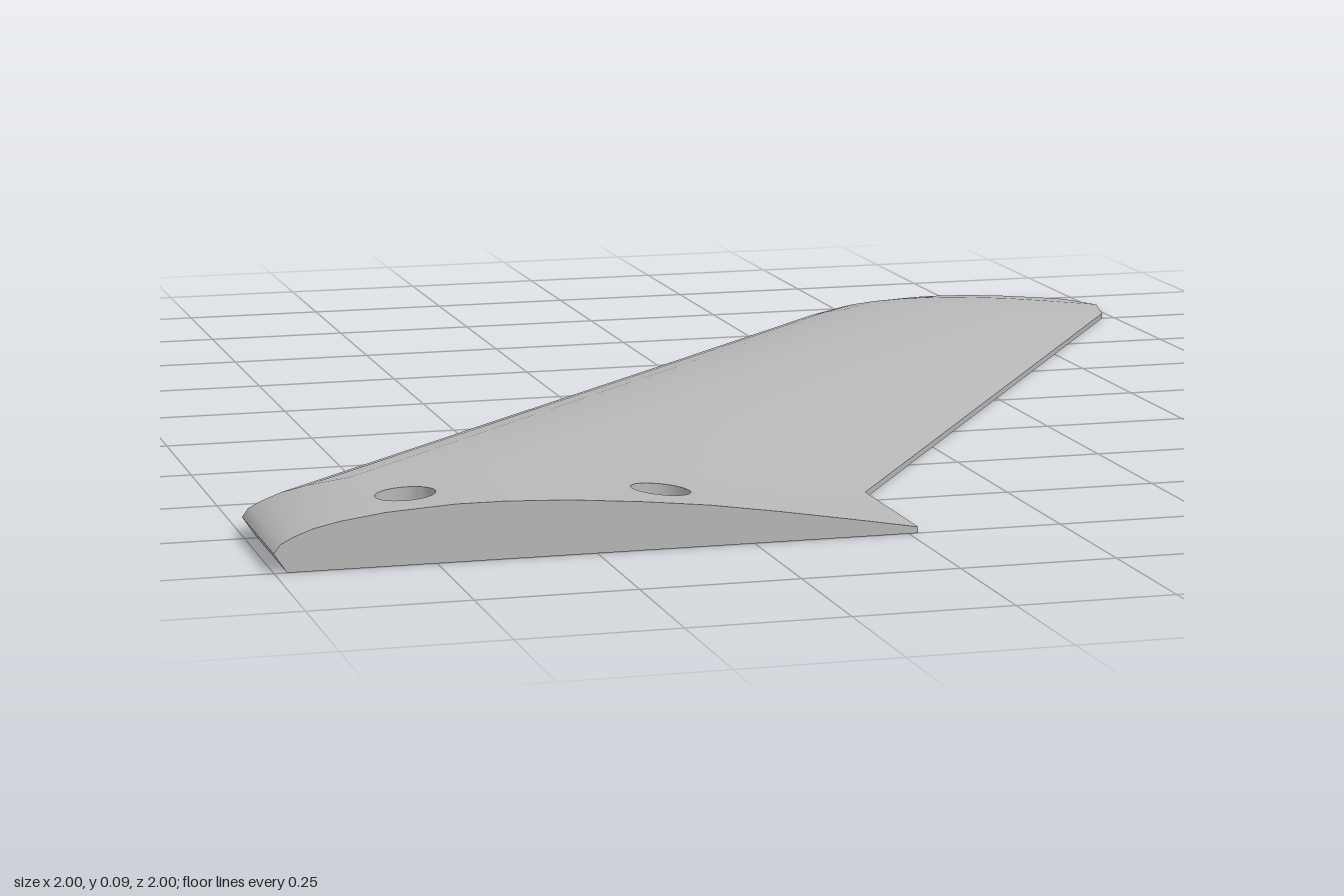
import * as THREE from 'three';
import { toCreasedNormals } from 'three/addons/utils/BufferGeometryUtils.js';

// Spanwise stations from root to tip: z, leading x, trailing x, thickness
const STATIONS = [
  [1, -1, 0.015, 0.09], [0.73, -1, 0.015, 0.09], [0.24, -0.556, 0.333, 0.076],
  [-0.25, -0.113, 0.651, 0.061], [-0.75, 0.34, 0.975, 0.047], [-0.85, 0.44, 1, 0.041],
  [-0.93, 0.555, 0.96, 0.029], [-0.97, 0.625, 0.89, 0.019], [-1, 0.68, 0.82, 0.01],
];
// Upper profile: chord fraction, height fraction
const PROFILE = [
  [0, 0.25], [0.01, 0.42], [0.03, 0.55], [0.06, 0.69], [0.1, 0.8], [0.17, 0.92], [0.275, 1],
  [0.35, 1], [0.45, 0.95], [0.57, 0.82], [0.67, 0.68], [0.78, 0.47], [0.89, 0.24], [1, 0],
];
const EDGE = 0.01, BEVEL = 0.02;
const HOLES = [{ x: -0.775, z: 0.89, cell: 5 }, { x: -0.37, z: 0.89, cell: 9 }];
const BORE = 0.025, SINK = 0.047, SINK_DEPTH = 0.03, SIDES = 32;

const V = (x, y, z) => new THREE.Vector3(x, y, z);
const topPoint = ([z, x0, x1, h], [t, g]) => V(x0 + (x1 - x0) * t, EDGE + (h - EDGE) * g, z);

// Collects triangles, each turned to face the given direction
class Surface {
  constructor() { this.pos = []; }
  tri(a, b, c, dir) {
    const n = b.clone().sub(a).cross(c.clone().sub(a));
    const order = n.dot(dir) < 0 ? [a, c, b] : [a, b, c];
    order.forEach((p) => this.pos.push(p.x, p.y, p.z));
  }
  quad(a, b, c, d, dir) {
    this.tri(a, b, c, dir);
    this.tri(a, c, d, dir);
  }
  // Flat outline in x and z with holes, lifted to a height rule
  plate(outline, holes, height, dir) {
    const faces = THREE.ShapeUtils.triangulateShape(outline, holes);
    const pts = [outline, ...holes].flat().map((p) => V(p.x, height(p.x), p.y));
    faces.forEach(([a, b, c]) => this.tri(pts[a], pts[b], pts[c], dir));
  }
  mesh(name, material, crease) {
    const geo = new THREE.BufferGeometry();
    geo.setAttribute('position', new THREE.Float32BufferAttribute(this.pos, 3));
    const mesh = new THREE.Mesh(toCreasedNormals(geo, crease), material);
    mesh.name = name;
    return mesh;
  }
}

const circle = (hole, r) => Array.from({ length: SIDES }, (_, i) => {
  const a = (i / SIDES) * Math.PI * 2;
  return new THREE.Vector2(hole.x + r * Math.cos(a), hole.z + r * Math.sin(a));
});

export function createModel() {
  const group = new THREE.Group();
  group.name = 'fin';
  const grey = new THREE.MeshStandardMaterial({ color: 0xb8b8b8 });
  grey.name = 'grey';
  const up = V(0, 1, 0), down = V(0, -1, 0);

  // Height of the root's upper surface at x
  const rootHeight = (x) => {
    const pts = PROFILE.map((p) => topPoint(STATIONS[0], p));
    const i = Math.max(1, pts.findIndex((p) => p.x >= x - 1e-9));
    const a = pts[i - 1], b = pts[i];
    return a.y + ((b.y - a.y) * (x - a.x)) / (b.x - a.x);
  };

  // Cambered upper skin, with pierced cells at the root
  const skin = new Surface();
  for (let s = 0; s < STATIONS.length - 1; s++) {
    for (let p = 0; p < PROFILE.length - 1; p++) {
      const corners = [
        topPoint(STATIONS[s], PROFILE[p]), topPoint(STATIONS[s], PROFILE[p + 1]),
        topPoint(STATIONS[s + 1], PROFILE[p + 1]), topPoint(STATIONS[s + 1], PROFILE[p]),
      ];
      const hole = s === 0 && HOLES.find((h) => h.cell === p);
      if (hole) {
        const outline = corners.map((c) => new THREE.Vector2(c.x, c.z));
        skin.plate(outline, [circle(hole, SINK)], rootHeight, up);
      } else skin.quad(...corners, up);
    }
  }
  group.add(skin.mesh('upperSkin', grey, 0.7));

  // Flat underside
  const under = new Surface();
  const lead = STATIONS.map(([z, x]) => new THREE.Vector2(x + BEVEL, z));
  const trail = STATIONS.map(([z, , x]) => new THREE.Vector2(x, z));
  under.plate([...lead, ...trail.slice().reverse()], HOLES.map((h) => circle(h, BORE)), () => 0, down);
  group.add(under.mesh('underside', grey, 0.5));

  // Bevelled leading edge and thin trailing edge
  const leading = new Surface(), trailing = new Surface();
  const low = (v) => V(v.x, 0, v.y);
  const first = PROFILE[0], last = PROFILE[PROFILE.length - 1];
  for (let s = 0; s < STATIONS.length - 1; s++) {
    const a = STATIONS[s], b = STATIONS[s + 1];
    leading.quad(topPoint(a, first), topPoint(b, first), low(lead[s + 1]), low(lead[s]), V(-1, -1, -1));
    trailing.quad(topPoint(a, last), topPoint(b, last), low(trail[s + 1]), low(trail[s]), V(1, 0, 0));
  }
  group.add(leading.mesh('leadingEdge', grey, 0.5), trailing.mesh('trailingEdge', grey, 0.5));

  // End faces at root and tip
  [['rootFace', 0, V(0, 0, 1)], ['tipFace', STATIONS.length - 1, V(0, 0, -1)]].forEach(([name, s, dir]) => {
    const face = new Surface();
    const ring = [low(lead[s]), ...PROFILE.map((p) => topPoint(STATIONS[s], p)), low(trail[s])];
    const flat = ring.map((p) => new THREE.Vector2(p.x, p.y));
    THREE.ShapeUtils.triangulateShape(flat, []).forEach(([a, b, c]) => face.tri(ring[a], ring[b], ring[c], dir));
    group.add(face.mesh(name, grey, 0.5));
  });

  // Stepped screw holes
  HOLES.forEach((hole, n) => {
    const bore = new Surface();
    const floor = rootHeight(hole.x) - SINK_DEPTH;
    const rings = [[SINK, rootHeight], [SINK, () => floor], [BORE, () => floor], [BORE, () => 0]]
      .map(([r, height]) => circle(hole, r).map((p) => V(p.x, height(p.x), p.y)));
    for (let r = 0; r < 3; r++) {
      for (let i = 0; i < SIDES; i++) {
        const j = (i + 1) % SIDES;
        const a = rings[r][i];
        const dir = r === 1 ? up : V(hole.x - a.x, 0, hole.z - a.z);
        bore.quad(a, rings[r][j], rings[r + 1][j], rings[r + 1][i], dir);
      }
    }
    group.add(bore.mesh(n ? 'rearScrewHole' : 'frontScrewHole', grey, 0.6));
  });

  return group;
}
